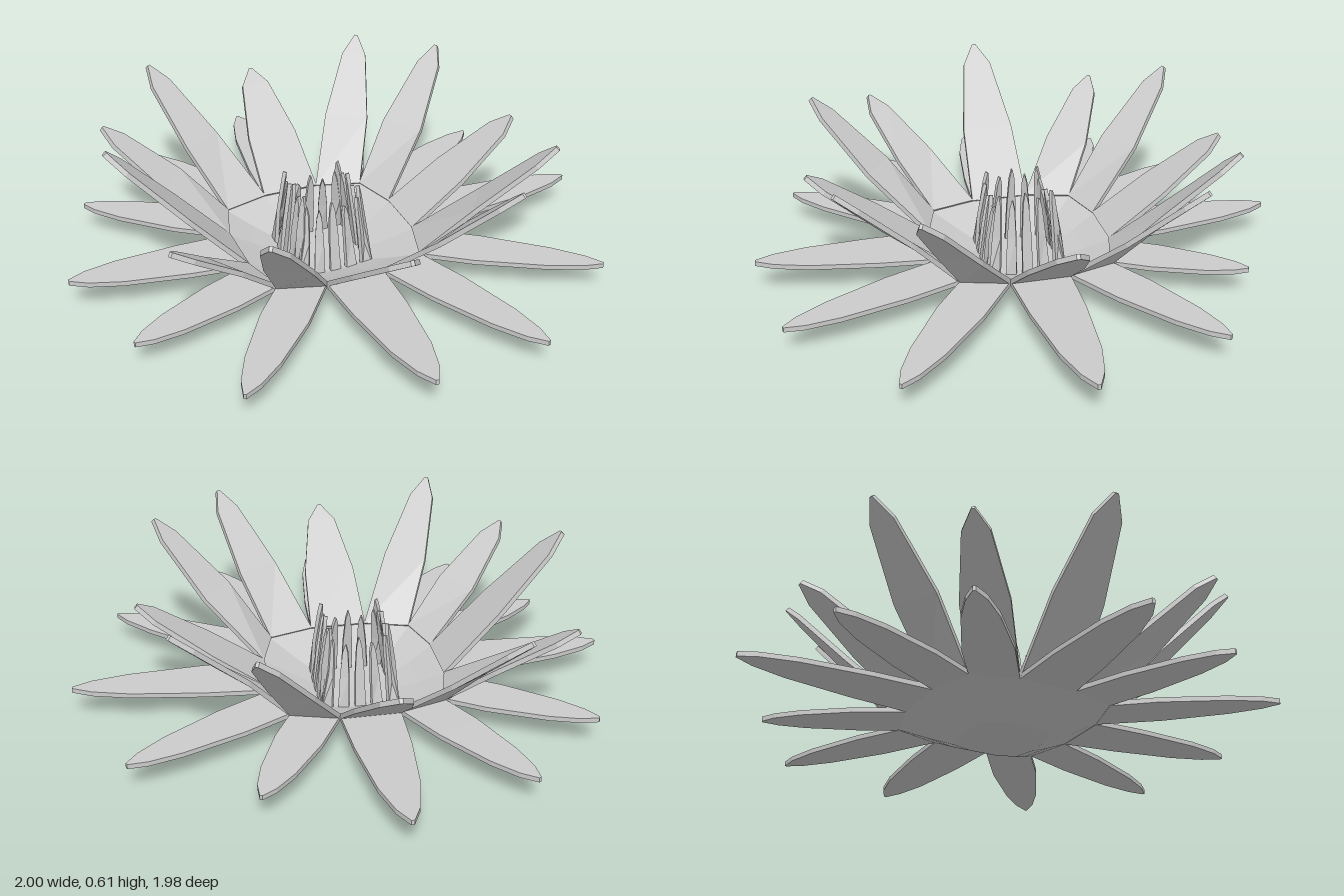
import * as THREE from 'three';

const V = (x, y, z) => new THREE.Vector3(x, y, z);
const UP = V(0, 1, 0);
const material = new THREE.MeshStandardMaterial({ color: 0xcccccc, flatShading: true });

// Skin a list of equal-length rings into one closed faceted solid
function loft(rings, name) {
  const pos = [], n = rings[0].length;
  const tri = (...pts) => pts.forEach(p => pos.push(p.x, p.y, p.z));
  for (let i = 0; i < rings.length - 1; i++) {
    for (let j = 0; j < n; j++) {
      const k = (j + 1) % n;
      const a = rings[i][j], b = rings[i][k], c = rings[i + 1][k], d = rings[i + 1][j];
      tri(a, b, c);
      tri(a, c, d);
    }
  }
  const first = rings[0], last = rings[rings.length - 1];
  for (let j = 1; j < n - 1; j++) {
    tri(first[0], first[j + 1], first[j]);
    tri(last[0], last[j], last[j + 1]);
  }
  const geo = new THREE.BufferGeometry();
  geo.setAttribute('position', new THREE.Float32BufferAttribute(pos, 3));
  geo.computeVertexNormals();
  const mesh = new THREE.Mesh(geo, material);
  mesh.name = name;
  return mesh;
}

// Thin blade from base edge a-b to a tip; stations are [fraction of length, half width]
function blade(a, b, tip, stations, thickness, name) {
  const base = a.clone().add(b).multiplyScalar(0.5);
  const axis = tip.clone().sub(base).normalize();
  const side = UP.clone().cross(axis).normalize();
  const normal = axis.clone().cross(side).multiplyScalar(thickness / 2);
  const section = (mid, half) => [
    mid.clone().sub(half).sub(normal), mid.clone().add(half).sub(normal),
    mid.clone().add(half).add(normal), mid.clone().sub(half).add(normal),
  ];
  const rings = [section(base, b.clone().sub(a).multiplyScalar(0.5))];
  for (const [t, w] of stations) {
    rings.push(section(base.clone().lerp(tip, t), side.clone().multiplyScalar(w)));
  }
  return loft(rings, name);
}

// Twelve-sided outline of the bowl rim, turning from front towards +x
const RIM = [[-0.11, 0.33], [0.11, 0.33], [0.28, 0.28], [0.33, 0.11], [0.33, -0.11], [0.28, -0.28],
  [0.11, -0.33], [-0.11, -0.33], [-0.28, -0.28], [-0.33, -0.11], [-0.33, 0.11], [-0.28, 0.28]];
const CX = -0.045;
const rimRing = (scale, y) => RIM.map(([x, z]) => V(CX + x * scale, y, z * scale));

// Petal tips, in the same order as the rim edges
const RAISED = [[-0.045, 0.44, 0.78], [0.38, 0.56, 0.72], [0.65, 0.56, 0.48], [0.745, 0.44, 0],
  [0.65, 0.56, -0.47], [0.39, 0.56, -0.69], [-0.045, 0.44, -0.79], [-0.49, 0.56, -0.72],
  [-0.74, 0.45, -0.48], [-0.83, 0.6, 0], [-0.74, 0.45, 0.46], [-0.49, 0.56, 0.71]];
const SPREAD = [[-0.045, 0.12, 0.985], [0.4, 0.1, 0.92], [0.82, 0.1, 0.59], [1, 0.12, 0],
  [0.82, 0.11, -0.51], [0.4, 0.1, -0.75], [-0.045, 0.12, -0.99], [-0.51, 0.11, -0.83],
  [-0.83, 0.11, -0.52], [-1, 0.12, 0], [-0.87, 0.1, 0.41], [-0.62, 0.1, 0.8]];

function petals(tips, y, profile, name) {
  const group = new THREE.Group();
  group.name = name + 's';
  const rim = rimRing(1, y);
  tips.forEach((tip, i) => {
    const half = i % 3 === 0 ? 0.11 : 0.095;
    const stations = profile.map(([t, w]) => [t, w * half]);
    group.add(blade(rim[i], rim[(i + 1) % 12], V(...tip), stations, 0.018, name));
  });
  return group;
}

export function createModel() {
  const flower = new THREE.Group();
  flower.name = 'waterLily';

  // Shallow faceted bowl, outside then inside
  flower.add(loft([[0, 0], [0.45, 0.006], [0.72, 0.045], [1, 0.09], [1, 0.105], [0.72, 0.062],
    [0.45, 0.025], [0, 0.02]].map(([s, y]) => rimRing(s, y)), 'bowl'));

  // Raised and spread rings of petals
  flower.add(petals(RAISED, 0.105, [[0.45, 0.9], [0.87, 0.5], [1, 0.06]], 'raisedPetal'));
  flower.add(petals(SPREAD, 0.098, [[0.33, 0.91], [0.71, 0.65], [0.9, 0.36], [1, 0.05]], 'spreadPetal'));

  // Square ring of inward-leaning stamens
  const stamens = new THREE.Group();
  stamens.name = 'stamens';
  const perSide = 5;
  for (let side = 0; side < 4; side++) {
    const turn = side * Math.PI / 2;
    for (let i = 0; i < perSide; i++) {
      const s = (i / (perSide - 1) - 0.5) * 0.25;
      const place = (x, y, z) => V(x, y, z).applyAxisAngle(UP, turn).add(V(CX, 0, 0));
      const height = (side % 2 ? 0.335 : 0.29) - (i % 2) * 0.025;
      // Base edge runs against the inward lean
      stamens.add(blade(place(s + 0.02, 0.02, 0.142), place(s - 0.02, 0.02, 0.142),
        place(s * 0.78, height, 0.105), [[0.5, 0.017], [0.88, 0.01], [1, 0.002]], 0.014, 'stamen'));
    }
  }
  flower.add(stamens);
  return flower;
}
